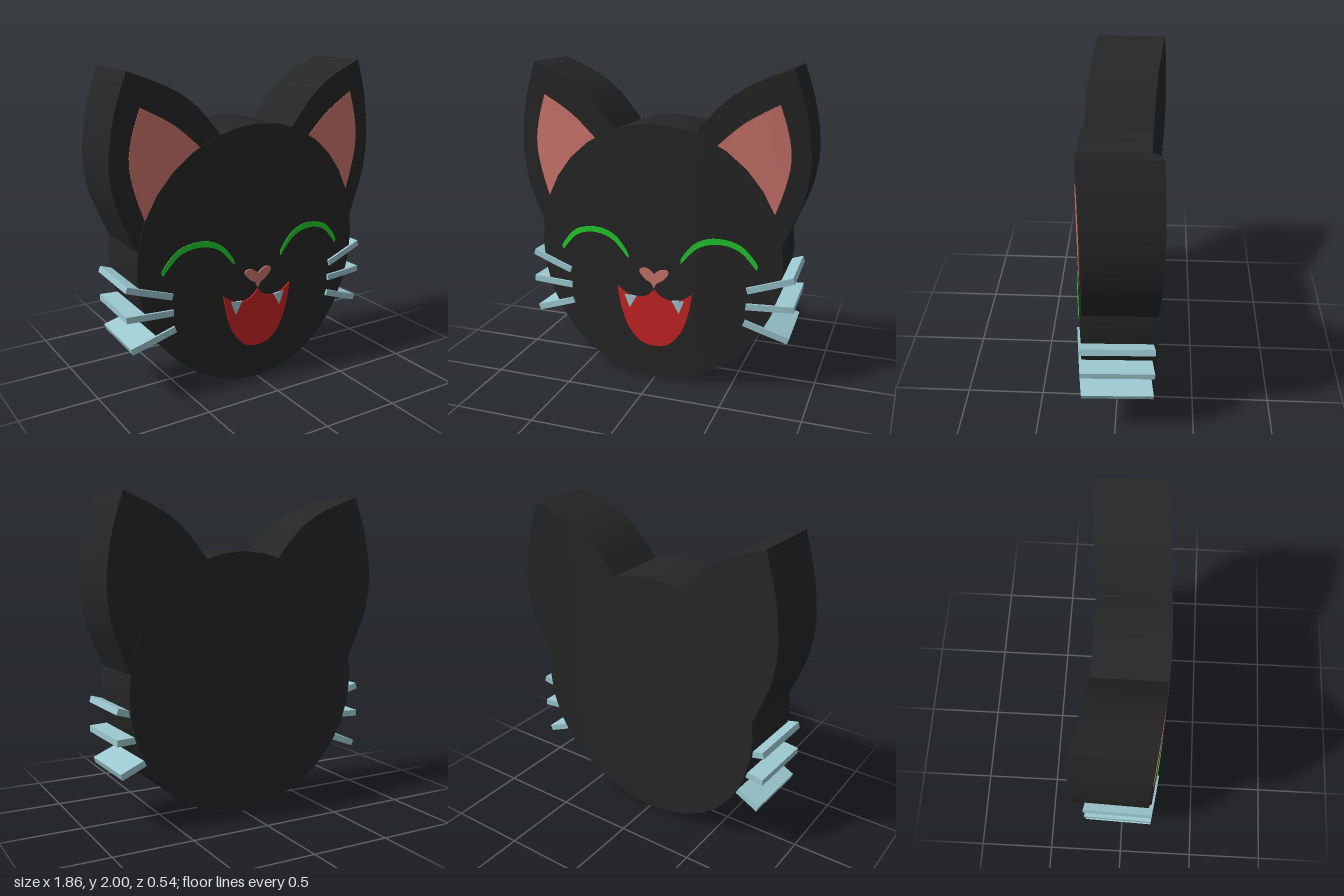
import * as THREE from 'three';
import { toCreasedNormals } from 'three/addons/utils/BufferGeometryUtils.js';

const mat = (color) => new THREE.MeshStandardMaterial({ color });
const FUR = mat(0x262626), PINK = mat(0xcd756d), GREEN = mat(0x22cc2c);
const RED = mat(0xc92424), WHISKER = mat(0x9cc8d0);

// Split triangles that are wide in x, then curve the slab backwards towards its sides
function bend(geometry) {
  const src = geometry.index ? geometry.toNonIndexed() : geometry;
  const p = src.attributes.position, out = [], stack = [];
  const corner = (i) => new THREE.Vector3().fromBufferAttribute(p, i);
  for (let i = 0; i < p.count; i += 3) stack.push([corner(i), corner(i + 1), corner(i + 2)]);
  while (stack.length) {
    const t = stack.pop();
    const dx = t.map((v, i) => Math.abs(v.x - t[(i + 1) % 3].x));
    const widest = Math.max(...dx);
    if (widest <= 0.12) {
      for (const v of t) {
        out.push(v.x * (1 + 0.037 * (v.z - 0.25)), v.y, v.z - 0.097 * v.x * v.x);
      }
      continue;
    }
    const i = dx.indexOf(widest);
    const a = t[i], b = t[(i + 1) % 3], c = t[(i + 2) % 3];
    const m = a.clone().add(b).multiplyScalar(0.5);
    stack.push([a, m, c], [m, b, c]);
  }
  const g = new THREE.BufferGeometry();
  g.setAttribute('position', new THREE.Float32BufferAttribute(out, 3));
  return toCreasedNormals(g, 0.5);
}

// Outline from chained smooth curves; side = -1 mirrors it in x
function outline(curves, side = 1, steps = 10) {
  const pts = [];
  for (const curve of curves) {
    const spline = new THREE.SplineCurve(curve.map(([x, y]) => new THREE.Vector2(x * side, y)));
    for (const q of spline.getPoints(curve.length > 2 ? steps : 1)) {
      if (!pts.length || q.distanceTo(pts[pts.length - 1]) > 1e-5) pts.push(q);
    }
  }
  if (pts[0].distanceTo(pts[pts.length - 1]) < 1e-5) pts.pop();
  return new THREE.Shape(pts);
}

// Curved slab between two depths
function slab(name, shape, back, front, material) {
  const g = new THREE.ExtrudeGeometry(shape, { depth: front - back, bevelEnabled: false });
  g.translate(0, 0, back);
  const mesh = new THREE.Mesh(bend(g), material);
  mesh.name = name;
  return mesh;
}

export function createModel() {
  const model = new THREE.Group();
  model.name = 'catFace';

  // Head: 32-sided oval
  const oval = [];
  for (let i = 0; i < 32; i++) {
    const a = (i / 32) * Math.PI * 2;
    oval.push(new THREE.Vector2(0.8 * Math.sin(a), 0.83 + 0.83 * Math.cos(a)));
  }
  model.add(slab('head', new THREE.Shape(oval), -0.195, 0.257, FUR));

  const ear = [
    [[0.25, 1.605], [0.41, 1.79], [0.58, 1.905], [0.815, 2.0]],
    [[0.815, 2.0], [0.89, 1.77], [0.932, 1.5], [0.91, 1.28], [0.86, 1.13], [0.785, 0.95]],
    [[0.785, 0.95], [0.62, 1.1]],
    [[0.62, 1.1], [0.25, 1.605]],
  ];
  const innerEar = [
    [[0.36, 1.52], [0.385, 1.545], [0.55, 1.69], [0.746, 1.8]],
    [[0.746, 1.8], [0.8, 1.63], [0.819, 1.475], [0.79, 1.31], [0.735, 1.14]],
    [[0.735, 1.14], [0.36, 1.52]],
  ];
  const eye = [
    [[0.175, 0.8], [0.178, 0.838], [0.25, 0.93], [0.33, 0.972], [0.41, 0.982],
      [0.5, 0.967], [0.57, 0.93], [0.648, 0.835], [0.643, 0.8]],
    [[0.643, 0.8], [0.56, 0.895], [0.49, 0.933], [0.41, 0.946], [0.33, 0.933], [0.26, 0.895], [0.175, 0.8]],
  ];
  const tooth = [
    [[0.2, 0.557], [0.165, 0.47]], [[0.165, 0.47], [0.12, 0.55]], [[0.12, 0.55], [0.2, 0.557]],
  ];
  // Whisker centre lines
  const whiskers = [
    [[0.59, 0.665], [0.87, 0.75]],
    [[0.585, 0.562], [0.875, 0.562]],
    [[0.575, 0.455], [0.85, 0.355]],
  ];

  for (const side of [1, -1]) {
    const prefix = side > 0 ? 'left' : 'right';
    model.add(slab(prefix + 'Ear', outline(ear, side, 16), -0.192, 0.25, FUR));
    model.add(slab(prefix + 'InnerEar', outline(innerEar, side, 12), 0.22, 0.2535, PINK));
    model.add(slab(prefix + 'Eye', outline(eye, side, 20), 0.24, 0.262, GREEN));
    model.add(slab(prefix + 'Tooth', outline(tooth, side), 0.25, 0.27, WHISKER));
    whiskers.forEach(([a, b], i) => {
      const d = new THREE.Vector2(b[0] - a[0], b[1] - a[1]).normalize().multiplyScalar(0.02);
      const bar = [
        [a[0] + d.y, a[1] - d.x], [b[0] + d.y, b[1] - d.x],
        [b[0] - d.y, b[1] + d.x], [a[0] - d.y, a[1] + d.x],
      ];
      const shape = new THREE.Shape(bar.map(([x, y]) => new THREE.Vector2(x * side, y)));
      model.add(slab(prefix + 'Whisker' + (i + 1), shape, -0.17, 0.272, WHISKER));
    });
  }

  // Mouth: two scallops above a rounded chin
  const mouth = [
    [[-0.25, 0.605], [-0.19, 0.565], [-0.12, 0.545], [-0.05, 0.565], [0, 0.61]],
    [[0, 0.61], [0.05, 0.565], [0.12, 0.545], [0.19, 0.565], [0.25, 0.605]],
    [[0.25, 0.605], [0.225, 0.47], [0.18, 0.345], [0.1, 0.25], [0, 0.226],
      [-0.1, 0.25], [-0.18, 0.345], [-0.225, 0.47], [-0.25, 0.605]],
  ];
  model.add(slab('mouth', outline(mouth, 1, 20), 0.24, 0.266, RED));

  // Nose: small heart
  const nose = [
    [[0, 0.715], [0.04, 0.745], [0.085, 0.746], [0.095, 0.72], [0.055, 0.675], [0.02, 0.655], [0, 0.62]],
    [[0, 0.62], [-0.02, 0.655], [-0.055, 0.675], [-0.095, 0.72], [-0.085, 0.746], [-0.04, 0.745], [0, 0.715]],
  ];
  model.add(slab('nose', outline(nose, 1, 16), 0.24, 0.268, PINK));

  return model;
}
